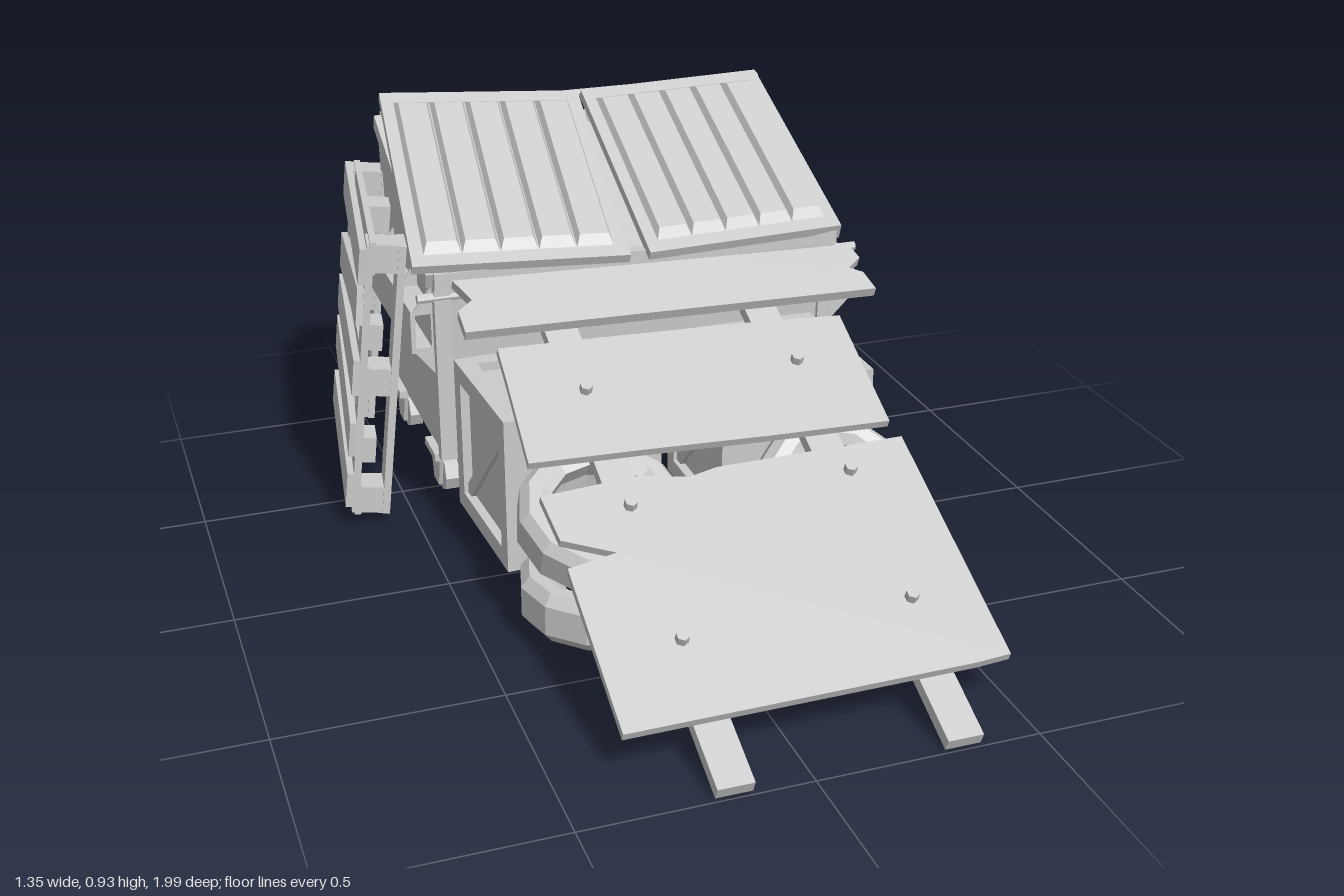
import * as THREE from 'three';

const mat = new THREE.MeshStandardMaterial({ color: 0xcccccc, flatShading: true, side: THREE.DoubleSide });
const V = (x, y, z) => new THREE.Vector3(x, y, z);

function add(parent, name, geo, x = 0, y = 0, z = 0) {
  const m = new THREE.Mesh(geo, mat);
  m.name = name;
  m.position.set(x, y, z);
  parent.add(m);
  return m;
}
function group(parent, name) {
  const g = new THREE.Group();
  g.name = name;
  parent.add(g);
  return g;
}
const box = (p, name, w, h, d, x, y, z) => add(p, name, new THREE.BoxGeometry(w, h, d), x, y, z);

// Square bar between two points
function bar(p, name, a, b, w, h) {
  const m = box(p, name, w, h, a.distanceTo(b), 0, 0, 0);
  m.position.copy(a).lerp(b, 0.5);
  m.lookAt(b);
  return m;
}
function extrude(points, depth, holes = []) {
  const toV = l => l.map(q => new THREE.Vector2(q[0], q[1]));
  const s = new THREE.Shape(toV(points));
  holes.forEach(h => s.holes.push(new THREE.Path(toV(h))));
  return new THREE.ExtrudeGeometry(s, { depth, bevelEnabled: false });
}
// Six-sided solid from bottom and top corner loops
function hexa(b, t) {
  const c = [...b, ...t], pos = [];
  const faces = [[3, 2, 1, 0], [4, 5, 6, 7], [0, 1, 5, 4], [1, 2, 6, 5], [2, 3, 7, 6], [3, 0, 4, 7]];
  for (const [i, j, k, l] of faces) for (const n of [i, j, k, i, k, l]) pos.push(...c[n].toArray());
  const g = new THREE.BufferGeometry();
  g.setAttribute('position', new THREE.Float32BufferAttribute(pos, 3));
  g.computeVertexNormals();
  return g;
}

// Lid over four corners: slab plus five bevelled raised panels
function lid(parent, name, fl, fr, br, bl) {
  const g = group(parent, name);
  const n = fr.clone().sub(fl).cross(bl.clone().sub(fl)).normalize();
  const at = (u, v, h) => fl.clone().lerp(fr, u).lerp(bl.clone().lerp(br, u), v).addScaledVector(n, h);
  const quad = (u0, u1, v0, v1, h) => [at(u0, v0, h), at(u1, v0, h), at(u1, v1, h), at(u0, v1, h)];
  add(g, 'lidSlab', hexa(quad(0, 1, 0, 1, -0.018), quad(0, 1, 0, 1, 0.006)));
  for (let i = 0; i < 5; i++) {
    const u = 0.06 + i * 0.176;
    add(g, 'lidPanel', hexa(quad(u, u + 0.172, 0.06, 0.94, 0.005), quad(u + 0.018, u + 0.154, 0.1, 0.9, 0.024)));
  }
}

function caster(parent, x, z) {
  const g = group(parent, 'caster');
  box(g, 'casterPlate', 0.09, 0.02, 0.11, x, 0.15, z);
  for (const s of [-1, 1])
    add(g, 'casterFork', extrude([[-0.05, 0.15], [0.05, 0.15], [0.025, 0.06], [-0.025, 0.06]], 0.01), x + s * 0.027 - 0.005, 0, z).rotation.y = Math.PI / 2;
  add(g, 'casterWheel', new THREE.CylinderGeometry(0.048, 0.048, 0.035, 8).rotateZ(Math.PI / 2), x, 0.083, z);
}

function dumpster(root) {
  const g = group(root, 'dumpster');
  // Sloped, slightly dented body
  const geo = new THREE.BoxGeometry(1.04, 1, 1, 4, 1, 1), p = geo.attributes.position;
  const dent = x => 0.03 * Math.max(0, 1 - Math.abs(x) / 0.52);
  for (let i = 0; i < p.count; i++) {
    const x = p.getX(i), top = p.getY(i) > 0, front = p.getZ(i) > 0;
    p.setXYZ(i, x * (top ? 1 : 0.98) + 0.09,
      top ? (front ? 0.63 : 0.85 - dent(x)) : 0.155,
      front ? (top ? -0.335 : -0.36) : (top ? -0.915 + dent(x) : -0.895));
  }
  geo.computeVertexNormals();
  add(g, 'body', geo);
  // Rim
  const rim = [V(-0.43, 0.63, -0.34), V(0.61, 0.63, -0.34), V(0.62, 0.85, -0.92), V(0.09, 0.82, -0.89), V(-0.42, 0.86, -0.92)];
  rim.forEach((a, i) => bar(g, 'rim', a, rim[(i + 1) % 5], 0.035, 0.04));
  add(g, 'frontRod', new THREE.CylinderGeometry(0.012, 0.012, 1.14, 8).rotateZ(Math.PI / 2), 0.1, 0.585, -0.345);
  add(g, 'hingeRod', new THREE.CylinderGeometry(0.01, 0.01, 1.03, 8).rotateZ(Math.PI / 2), 0.115, 0.885, -0.925);
  // Corner posts, lifting sleeves, gussets and casters on both sides
  for (const s of [-1, 1]) {
    box(g, 'cornerPost', 0.04, 0.47, 0.03, 0.09 + s * 0.5, 0.39, -0.35);
    const side = group(g, 'sideSleeve');
    side.position.x = 0.09;
    side.scale.x = s;
    const w = s > 0 ? 0.59 : 0.575;
    add(side, 'sleeve', extrude([[0.51, 0.44], [w, 0.44], [w, 0.55], [0.51, 0.55]], 0.53,
      [[[0.525, 0.452], [0.525, 0.538], [w - 0.012, 0.538], [w - 0.012, 0.452]]]), 0, 0, -0.89);
    for (const z of [-0.37, -0.54, -0.8]) {
      add(side, 'gusset', extrude([[0.51, 0.37], [w - 0.01, 0.44], [0.51, 0.44]], 0.012), 0, 0, z);
      add(side, 'gusset', extrude([[0.51, 0.55], [w - 0.01, 0.55], [0.51, 0.62]], 0.012), 0, 0, z);
    }
    for (const z of [-0.42, -0.82]) caster(g, 0.09 + s * 0.485, z);
  }
  lid(g, 'rightLid', V(-0.48, 0.67, -0.33), V(0.05, 0.65, -0.29), V(0.1, 0.9, -0.88), V(-0.42, 0.93, -0.92));
  lid(g, 'leftLid', V(0.1, 0.65, -0.29), V(0.62, 0.65, -0.32), V(0.62, 0.9, -0.92), V(0.11, 0.9, -0.88));
}

// Ramp of worn planks on two runners; local y runs up the slope
function ramp(root) {
  const g = group(root, 'ramp');
  g.position.set(0, 0.03, 1);
  g.rotation.x = -1.152;
  for (const x of [-0.17, 0.33]) box(g, 'runner', 0.08, 1.4, 0.03, x, 0.7, -0.015);
  add(g, 'lowerPlank', extrude([[-0.36, 0.15], [0.42, 0.155], [0.5, 0.16], [0.505, 0.775], [0.05, 0.77], [-0.02, 0.755],
    [-0.13, 0.78], [-0.36, 0.765], [-0.35, 0.64], [-0.24, 0.585], [-0.355, 0.565]], 0.02));
  add(g, 'middlePlank', extrude([[-0.36, 0.86], [-0.1, 0.85], [0.2, 0.835], [0.495, 0.825], [0.505, 1.17], [0.3, 1.185],
    [-0.05, 1.2], [-0.34, 1.21], [-0.345, 1.1]], 0.02));
  add(g, 'upperPlank', extrude([[-0.41, 1.24], [0.1, 1.225], [0.61, 1.21], [0.6, 1.27], [0.57, 1.29], [0.61, 1.32], [0.6, 1.37],
    [0.2, 1.385], [-0.4, 1.41], [-0.37, 1.34], [-0.41, 1.31]], 0.025), 0, 0, 0.03);
  for (const s of [0.34, 0.7, 1.045]) for (const x of [-0.175, 0.345])
    add(g, 'bolt', new THREE.CylinderGeometry(0.015, 0.015, 0.022, 6).rotateX(Math.PI / 2), x, s, 0.029);
}

// Crate: recessed core, twelve edge bars and a diagonal brace per face
function crate(root, x, z, yaw) {
  const g = group(root, 'crate'), h = 0.17, w = 0.045;
  g.position.set(x, 0.235, z);
  g.rotation.y = yaw;
  box(g, 'panels', 0.34, 0.34, 0.34, 0, 0, 0);
  for (const a of [-h, h]) for (const b of [-h, h]) {
    box(g, 'edge', 2 * h + w, w, w, 0, a, b);
    box(g, 'edge', w, 2 * h + w, w, a, 0, b);
    box(g, 'edge', w, w, 2 * h + w, a, b, 0);
  }
  const turns = [[0, 0], [0, 1], [0, 2], [0, 3], [1, 0], [-1, 0]];
  for (const [rx, ry] of turns) {
    const face = group(g, 'brace');
    face.rotation.set(rx * Math.PI / 2, ry * Math.PI / 2, 0);
    box(face, 'diagonal', 0.44, 0.035, 0.02, 0, 0, 0.172).rotation.z = Math.PI / 4;
  }
}

function tire(root, x, y, z, tilt) {
  const r = [[0.12, -0.045], [0.145, -0.06], [0.175, -0.06], [0.195, -0.035], [0.195, 0.035], [0.175, 0.06], [0.145, 0.06], [0.12, 0.045], [0.13, 0], [0.12, -0.045]];
  add(root, 'tire', new THREE.LatheGeometry(r.map(q => new THREE.Vector2(q[0], q[1])), 12), x, y, z).rotation.x = tilt;
}

// Pallet leaning on the side of the dumpster; local x is its thickness
function pallet(root) {
  const g = group(root, 'pallet');
  g.position.set(-0.575, 0.04, -0.665);
  g.rotation.set(0, -0.14, -0.11);
  for (const z of [-0.285, 0, 0.285]) {
    if (z) {
      box(g, 'innerBoard', 0.018, 0.7, 0.09, 0.045, 0.35, z);
      box(g, 'outerBoard', 0.018, 0.7, 0.08, -0.03, 0.35, z);
    }
    for (const y of [0.035, 0.35, 0.665]) box(g, 'block', 0.065, 0.07, 0.08, 0.005, y, z);
  }
  for (const y of [0.035, 0.35, 0.665]) box(g, 'rail', 0.016, 0.08, 0.65, -0.024, y, 0);
  [[0.06, 0], [0.21, 0.04], [0.35, -0.03], [0.5, -0.13], [0.65, 0.02]].forEach(([y, tilt]) => {
    box(g, 'slat', 0.016, 0.09, 0.65, -0.047, y, 0).rotation.x = tilt;
  });
}

export function createModel() {
  const root = new THREE.Group();
  root.name = 'dumpsterRamp';
  dumpster(root);
  ramp(root);
  crate(root, 0.35, -0.13, 0);
  crate(root, -0.19, -0.14, 0.05);
  tire(root, -0.21, 0.1, 0.295, 0);
  tire(root, -0.2, 0.25, 0.25, 0.4);
  tire(root, 0.37, 0.195, 0.23, 0.8);
  pallet(root);
  return root;
}
